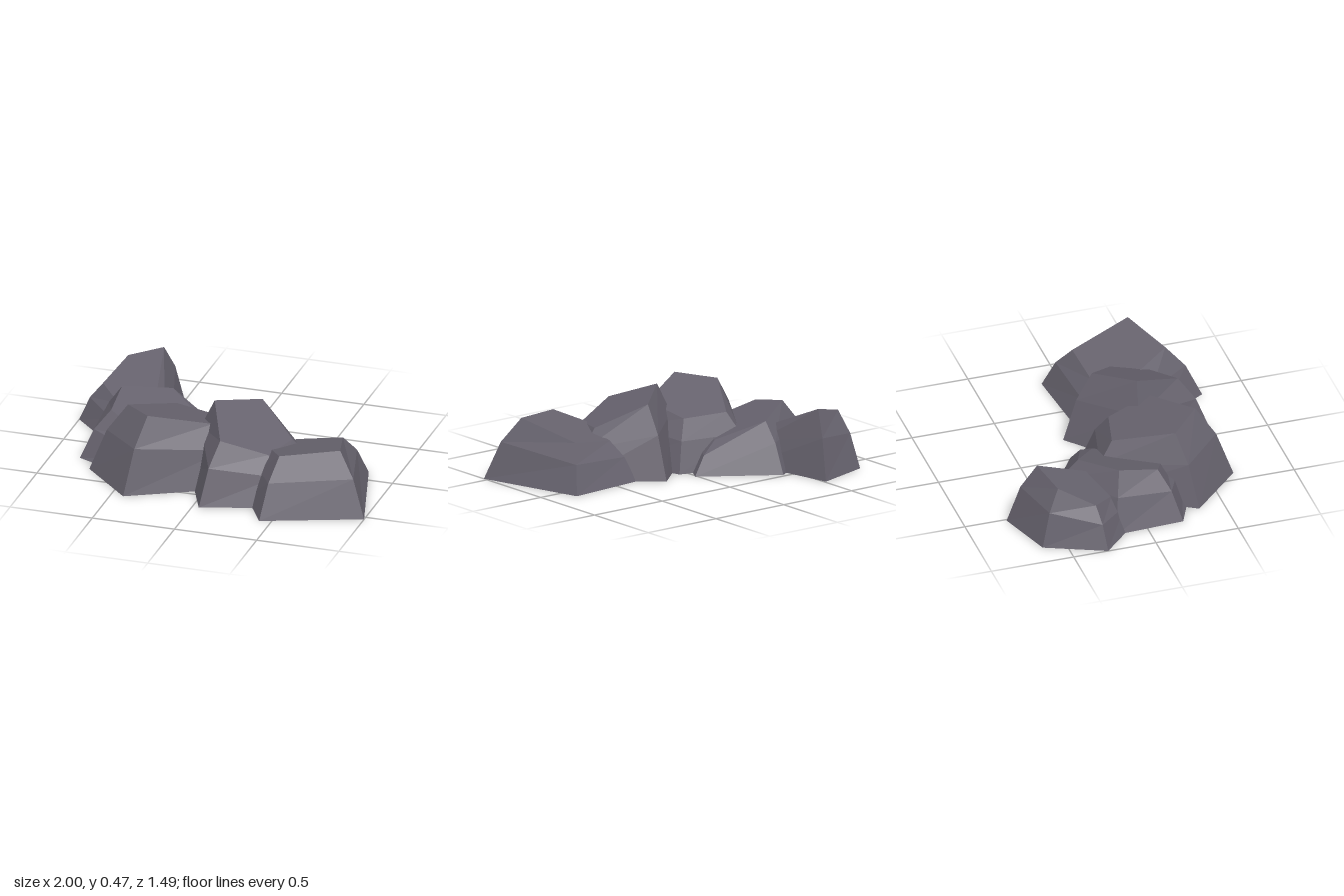
import * as THREE from 'three';

const TOP_SCALE = 0.58, MID_SCALE = 0.81, MID_HEIGHT = 0.61;

// Each rock: centre [x, z], tilted top (height at centre, slope in x, slope in z),
// and a five-sided footprint, counter-clockwise seen from above
const ROCKS = [
  { name: 'backLeftRock', centre: [-0.68, -0.365], top: [0.277, 0.113, -0.455],
    base: [[-0.51, -0.75], [-0.85, -0.64], [-1, -0.29], [-0.76, -0.05], [-0.4, -0.17]] },
  { name: 'backMiddleRock', centre: [-0.457, -0.03], top: [0.241, -0.31, -0.18],
    base: [[-0.41, -0.48], [-0.85, -0.19], [-0.83, 0.22], [-0.35, 0.44], [0.015, -0.195]] },
  { name: 'frontLeftRock', centre: [-0.23, 0.165], top: [0.348, -0.1, 0.261],
    base: [[-0.4, -0.21], [-0.73, 0.35], [-0.425, 0.655], [0.16, 0.35], [0.055, -0.1]] },
  { name: 'centreRock', centre: [0.21, 0.24], top: [0.371, -0.4, -0.225],
    base: [[0.21, -0.175], [-0.18, 0.17], [0.04, 0.67], [0.5, 0.525], [0.63, 0.15]] },
  { name: 'rightRock', centre: [0.563, 0.25], top: [0.287, 0.159, 0.195],
    base: [[0.82, -0.11], [0.345, -0.065], [0.25, 0.43], [0.43, 0.74], [1, 0.53]] },
];

function rockGeometry({ centre: [cx, cz], top: [h, sx, sz], base }) {
  // A ring is the footprint shrunk about the centre, raised to a share of the tilted top
  const ring = (scale, share) => base.map(([x, z]) => {
    const dx = x - cx, dz = z - cz;
    const y = h + TOP_SCALE * (sx * dx + sz * dz);
    return [cx + dx * scale, y * share, cz + dz * scale];
  });
  const rings = [ring(1, 0), ring(MID_SCALE, MID_HEIGHT), ring(TOP_SCALE, 1)];
  const n = base.length, points = [];
  const tri = (a, b, c) => points.push(...a, ...b, ...c);

  // Two bands of sloping side facets
  for (let r = 0; r < 2; r++) {
    const lower = rings[r], upper = rings[r + 1];
    for (let i = 0; i < n; i++) {
      const j = (i + 1) % n;
      tri(lower[i], lower[j], upper[j]);
      tri(lower[i], upper[j], upper[i]);
    }
  }
  // Tilted top and flat underside
  for (let i = 1; i < n - 1; i++) {
    tri(rings[2][0], rings[2][i], rings[2][i + 1]);
    tri(rings[0][0], rings[0][i + 1], rings[0][i]);
  }
  const geometry = new THREE.BufferGeometry();
  geometry.setAttribute('position', new THREE.Float32BufferAttribute(points, 3));
  geometry.computeVertexNormals(); // unshared corners give flat facets
  return geometry;
}

export function createModel() {
  const stone = new THREE.MeshStandardMaterial({ color: 0x66626d });
  stone.name = 'grey stone';
  const group = new THREE.Group();
  group.name = 'rockCluster';
  for (const rock of ROCKS) {
    const mesh = new THREE.Mesh(rockGeometry(rock), stone);
    mesh.name = rock.name;
    group.add(mesh);
  }
  return group;
}
